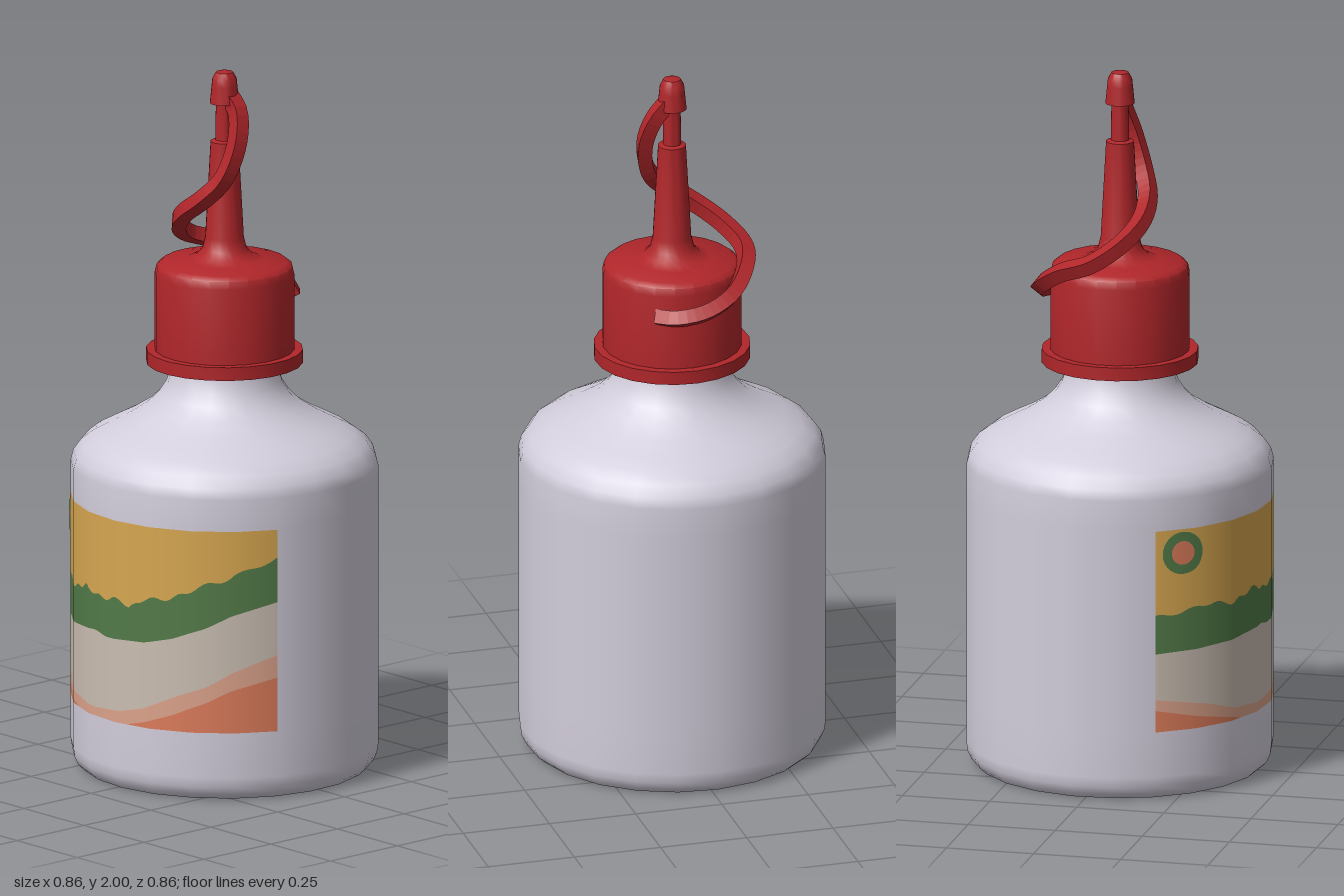
import * as THREE from 'three';
import { toCreasedNormals } from 'three/addons/utils/BufferGeometryUtils.js';

const SIDES = 22;
const STEP = (Math.PI * 2) / SIDES;
const PHI0 = STEP / 6; // angle of the bottle's first corner
const R = 0.43;
const LABEL_LOW = 0.2, LABEL_HIGH = 0.78;

const makeMat = (name, color, side = THREE.FrontSide) => {
  const m = new THREE.MeshStandardMaterial({ color, side });
  m.name = name;
  return m;
};

// Point on the many-sided bottle wall at angle phi
function wall(phi, y, offset = 0) {
  const k = Math.floor((phi - PHI0) / STEP + 1e-6);
  const t = (phi - PHI0) / STEP - k;
  const a = PHI0 + k * STEP, b = a + STEP, r = R + offset;
  return new THREE.Vector3(
    r * THREE.MathUtils.lerp(Math.sin(a), Math.sin(b), t), y,
    r * THREE.MathUtils.lerp(Math.cos(a), Math.cos(b), t));
}

// Piecewise linear curve through [x, y] pairs
function curveY(pairs, x) {
  if (x <= pairs[0][0]) return pairs[0][1];
  for (let i = 1; i < pairs.length; i++) {
    const [x0, y0] = pairs[i - 1], [x1, y1] = pairs[i];
    if (x <= x1) return y0 + ((y1 - y0) * (x - x0)) / (x1 - x0);
  }
  return pairs[pairs.length - 1][1];
}

// Strip of the label between two curves
function labelBand(low, high) {
  const pos = [], nor = [], idx = [], n = 8 * 10;
  for (let i = 0; i <= n; i++) {
    const phi = PHI0 + STEP * (-4 + (8 * i) / n);
    const x = wall(phi, 0).x;
    for (const f of [low, high]) {
      pos.push(...wall(phi, f(x)).toArray());
      nor.push(Math.sin(phi), 0, Math.cos(phi));
    }
    const a = i * 2;
    if (i < n) idx.push(a, a + 2, a + 1, a + 1, a + 2, a + 3);
  }
  const g = new THREE.BufferGeometry();
  g.setAttribute('position', new THREE.Float32BufferAttribute(pos, 3));
  g.setAttribute('normal', new THREE.Float32BufferAttribute(nor, 3));
  g.setIndex(idx);
  return g;
}

// Flat ring wrapped on to the bottle wall
function wrappedRing(inner, outer, phi, y) {
  const g = new THREE.RingGeometry(inner, outer, 28, 4);
  const p = g.attributes.position, n = g.attributes.normal;
  for (let i = 0; i < p.count; i++) {
    const a = phi + p.getX(i) / R;
    const v = wall(a, y + p.getY(i), 0.003);
    p.setXYZ(i, v.x, v.y, v.z);
    n.setXYZ(i, Math.sin(a), 0, Math.cos(a));
  }
  return g;
}

const lathe = (pts, sides = SIDES, start = PHI0, length = Math.PI * 2) =>
  new THREE.LatheGeometry(pts.map(([x, y]) => new THREE.Vector2(x, y)), sides, start, length);

export function createModel() {
  const D = THREE.DoubleSide;
  const white = makeMat('bottlePlastic', 0xd2cddb, D);
  const red = makeMat('capRed', 0xb0262a, D);
  const yellow = makeMat('labelYellow', 0xd6a650, D);
  const green = makeMat('labelGreen', 0x527a48, D);
  const beige = makeMat('labelBeige', 0xc9bdb1, D);
  const pink = makeMat('labelPink', 0xdba28a, D);
  const orange = makeMat('labelOrange', 0xdb7b5a, D);

  const model = new THREE.Group();
  model.name = 'squeezeBottle';
  const add = (parent, name, geometry, material) => {
    const m = new THREE.Mesh(geometry, material);
    m.name = name;
    parent.add(m);
    return m;
  };

  // Bottle: open foot, wall with a gap for the label, shoulder and neck
  const bottle = new THREE.Group();
  bottle.name = 'bottle';
  add(bottle, 'foot', lathe([[0.385, 0.003], [0.4, 0.005], [0.416, 0.02], [0.426, 0.042],
    [R, 0.07], [R, LABEL_LOW]]), white);
  add(bottle, 'wall', lathe([[R, LABEL_LOW], [R, LABEL_HIGH]], 14, PHI0 + 4 * STEP, 14 * STEP), white);
  add(bottle, 'shoulder', lathe([[R, LABEL_HIGH], [R, 0.87], [0.422, 0.9], [0.4, 0.93], [0.365, 0.956],
    [0.32, 0.98], [0.265, 1.008], [0.215, 1.04], [0.183, 1.072], [0.162, 1.105], [0.148, 1.15],
    [0.145, 1.22]]), white);
  model.add(bottle);

  // Label: wavy landscape bands from bottom to top
  const label = new THREE.Group();
  label.name = 'label';
  const orangeTop = [[-0.39, 0.265], [-0.31, 0.235], [-0.23, 0.215], [-0.17, 0.2], [0.06, 0.2],
    [0.12, 0.215], [0.2, 0.245], [0.28, 0.285], [0.33, 0.32], [0.4, 0.355]];
  const pinkTop = [[-0.39, 0.295], [-0.28, 0.265], [-0.2, 0.235], [-0.07, 0.225], [0.04, 0.235],
    [0.12, 0.255], [0.2, 0.295], [0.28, 0.33], [0.33, 0.37], [0.4, 0.42]];
  const beigeTop = [[-0.39, 0.425], [-0.2, 0.435], [-0.07, 0.448], [-0.02, 0.437], [0.12, 0.445],
    [0.2, 0.465], [0.28, 0.5], [0.33, 0.535], [0.4, 0.572]];
  const greenTop = [[-0.39, 0.53], [-0.28, 0.555], [-0.2, 0.54], [-0.12, 0.565], [-0.04, 0.545],
    [0.04, 0.557], [0.07, 0.535], [0.12, 0.57], [0.2, 0.58], [0.27, 0.62], [0.33, 0.645], [0.4, 0.7]];
  const edges = [
    () => LABEL_LOW,
    x => curveY(orangeTop, x),
    x => curveY(pinkTop, x),
    x => curveY(beigeTop, x),
    x => curveY(greenTop, x) + 0.006 * Math.sin(x * 95),
    () => LABEL_HIGH,
  ];
  [['orangeHill', orange], ['pinkHill', pink], ['beigeField', beige], ['greenHedge', green], ['yellowSky', yellow]]
    .forEach(([name, mat], i) => add(label, name, labelBand(edges[i], edges[i + 1]), mat));
  add(label, 'sunRing', wrappedRing(0.034, 0.061, -0.905, 0.712), green);
  add(label, 'sunCore', wrappedRing(0, 0.034, -0.905, 0.712), orange);
  model.add(label);

  // Screw cap with flange and spout
  const cap = new THREE.Group();
  cap.name = 'cap';
  const turned = (name, pts) => add(cap, name, toCreasedNormals(lathe(pts), 0.7), red);
  turned('flange', [[0.145, 1.16], [0.219, 1.16], [0.219, 1.198], [0.19, 1.198]]);
  turned('capBody', [[0.195, 1.195], [0.195, 1.415], [0.19, 1.437], [0.175, 1.449], [0.11, 1.455],
    [0.08, 1.467], [0.062, 1.487], [0.054, 1.52], [0.039, 1.795], [0.024, 1.8]]);
  turned('spoutTip', [[0.026, 1.79], [0.024, 1.91]]);
  turned('tipCover', [[0.02, 1.905], [0.041, 1.905], [0.036, 1.955], [0.034, 1.975], [0.024, 1.993], [0, 2]]);

  // Strap spiralling from the tip cover to the back of the cap
  const path = new THREE.CatmullRomCurve3([
    [0.015, 1.925, -0.005], [0.05, 1.885, -0.005], [0.073, 1.8, 0.02], [0.053, 1.7, 0.055], [0, 1.64, 0.08],
    [-0.08, 1.585, 0.078], [-0.155, 1.53, 0.03], [-0.195, 1.485, -0.04], [-0.178, 1.455, -0.12],
    [-0.12, 1.405, -0.19], [-0.04, 1.37, -0.215], [0.04, 1.355, -0.205], [0.09, 1.35, -0.165],
  ].map(p => new THREE.Vector3(...p)));
  const w = 0.02;
  const section = new THREE.Shape([[-w, -w], [w, -w], [w, w], [-w, w]].map(p => new THREE.Vector2(...p)));
  add(cap, 'strap', new THREE.ExtrudeGeometry(section, { steps: 48, extrudePath: path }), red);
  model.add(cap);

  return model;
}
